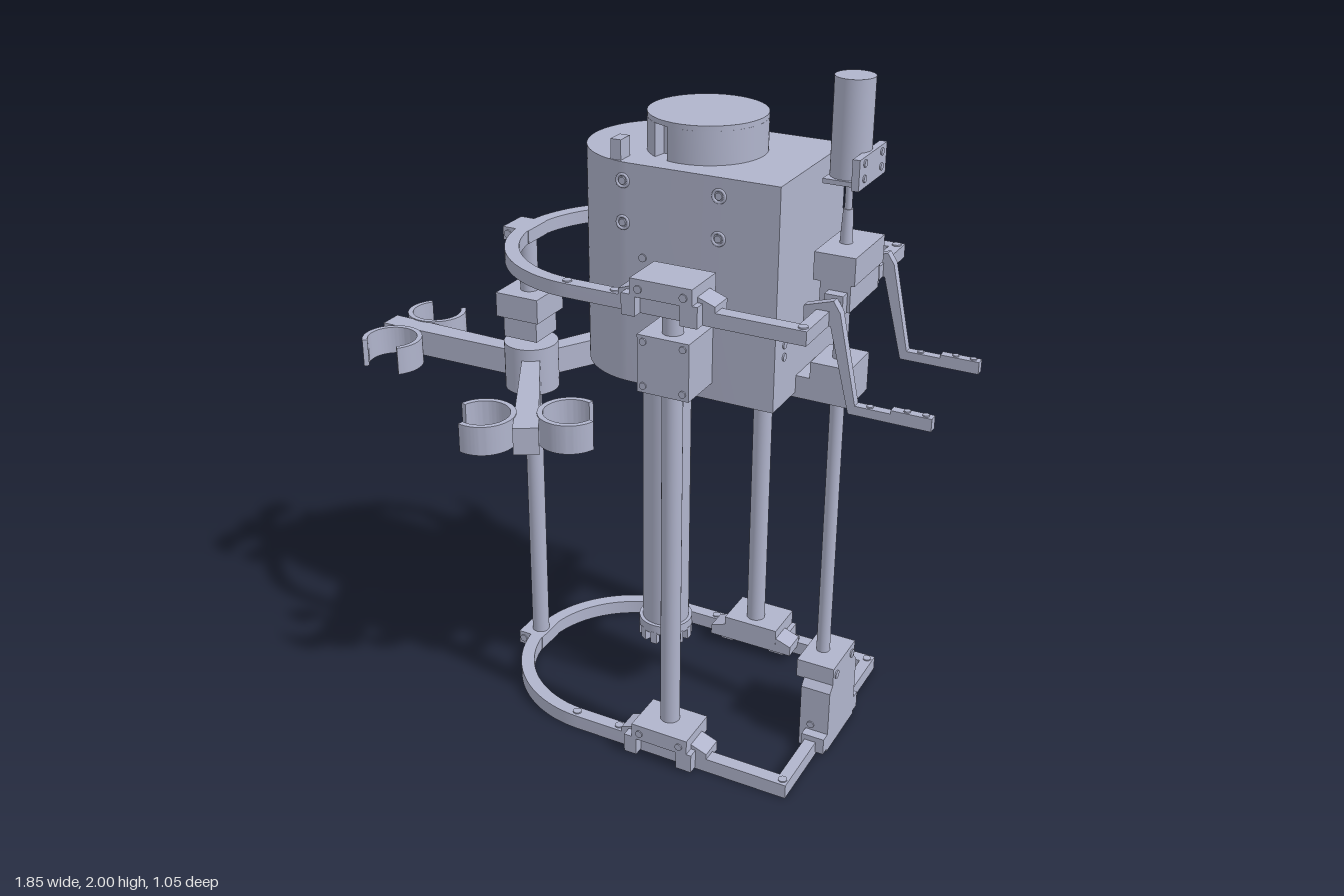
import * as THREE from 'three';
import { toCreasedNormals } from 'three/addons/utils/BufferGeometryUtils.js';

export function createModel() {
  const model = new THREE.Group();
  const steel = new THREE.MeshStandardMaterial({ color: 0xb0b4cc });
  steel.name = 'blue grey metal';

  const add = (geo, name, parent = model) => {
    const m = new THREE.Mesh(geo, steel);
    m.name = name;
    parent.add(m);
    return m;
  };
  // Box and upright cylinder given by their limits
  const box = (name, x0, x1, y0, y1, z0, z1, parent) => {
    const m = add(new THREE.BoxGeometry(x1 - x0, y1 - y0, z1 - z0), name, parent);
    m.position.set((x0 + x1) / 2, (y0 + y1) / 2, (z0 + z1) / 2);
    return m;
  };
  const rod = (name, x, z, r, y0, y1, parent, rTop = r) => {
    const m = add(new THREE.CylinderGeometry(rTop, r, y1 - y0, 40), name, parent);
    m.position.set(x, (y0 + y1) / 2, z);
    return m;
  };
  const extrude = (shape, depth) => toCreasedNormals(
    new THREE.ExtrudeGeometry(shape, { depth, bevelEnabled: false, curveSegments: 40 }), 0.5);
  // Plan outline raised from y0 to y1
  const plan = (name, shape, y0, y1, parent) => {
    const m = add(extrude(shape, y1 - y0).rotateX(-Math.PI / 2), name, parent);
    m.position.y = y0;
    return m;
  };
  // Front outline stretched from z0 to z1
  const side = (name, pts, z0, z1, parent) => {
    const m = add(extrude(new THREE.Shape(pts.map(p => new THREE.Vector2(...p))), z1 - z0), name, parent);
    m.position.z = z0;
    return m;
  };
  // Outline with a rounded left end
  const dShape = (cx, r, x1, Kind = THREE.Shape) => {
    const s = new Kind();
    s.moveTo(x1, -r);
    s.lineTo(x1, r);
    s.lineTo(cx, r);
    s.absarc(cx, 0, r, Math.PI / 2, Math.PI * 1.5, false);
    s.closePath();
    return s;
  };
  // Small bolt head with its axis along x, y or z
  const bolt = (x, y, z, axis, r = 0.013, parent = model) => {
    const m = add(new THREE.CylinderGeometry(r, r, 0.008, 16), 'bolt', parent);
    m.position.set(x, y, z);
    if (axis === 'x') m.rotation.z = Math.PI / 2;
    if (axis === 'z') m.rotation.x = Math.PI / 2;
  };

  // Drill head
  plan('headBody', dShape(0.06, 0.22, 0.49), 1.13, 1.755);
  const cap = new THREE.Shape();
  cap.absarc(0.18, 0, 0.163, -1.83, 4.15, false);
  cap.lineTo(0.10, -0.10);
  cap.lineTo(0.14, -0.10);
  cap.closePath();
  plan('headCap', cap, 1.755, 1.846);
  rod('capLid', 0.18, 0, 0.163, 1.846, 1.86);
  box('connector', 0, 0.03, 1.755, 1.81, 0.16, 0.21);
  for (const x of [0.04, 0.32]) for (const y of [1.59, 1.705])
    for (const s of [1, -1]) {
      const ring = add(new THREE.TorusGeometry(0.017, 0.004, 8, 24), 'boltRing');
      ring.position.set(x, y, s * 0.22);
      bolt(x, y, s * 0.22, 'z', 0.01);
    }
  bolt(0.1, 1.5, 0.22, 'z', 0.011);
  for (const y of [1.27, 1.305]) bolt(0.49, y, 0.16, 'x', 0.011);

  // Drill tube, toothed collar and cutting crown
  const DX = 0.062;
  rod('drillTube', DX, 0, 0.071, 0.22, 1.13);
  rod('tubeCollar', DX, 0, 0.082, 1.105, 1.13);
  rod('crown', DX, 0, 0.082, 0.215, 0.245);
  for (let i = 0; i < 12; i++) {
    const a = i * Math.PI / 6;
    for (const [name, y, h, w] of [['collarTooth', 1.095, 0.025, 0.022], ['crownTooth', 0.2, 0.04, 0.022]]) {
      const t = add(new THREE.BoxGeometry(0.018, h, w), name);
      t.position.set(DX + 0.073 * Math.cos(a), y, -0.073 * Math.sin(a));
      t.rotation.y = a;
    }
  }

  // Upper and lower frames
  for (const [name, y0, y1] of [['lowerFrame', 0, 0.045], ['upperFrame', 1.405, 1.445]]) {
    const s = dShape(-0.055, 0.357, 0.63);
    s.holes.push(dShape(-0.055, 0.316, 0.595, THREE.Path));
    plan(name, s, y0, y1);
    box('poleJoint', -0.452, -0.365, y0, y1, -0.05, 0.05);
    bolt(-0.435, (y0 + y1) / 2, 0.05, 'z', 0.012);
    for (const z of [-0.336, 0.336]) for (const x of [-0.065, 0.08, 0.365, 0.612]) bolt(x, y1, z, 'y');
  }

  // Guide columns with clamps and sliding blocks on both sides
  for (const s of [1, -1]) {
    const g = new THREE.Group();
    g.name = 'guideColumn';
    g.position.z = s * 0.305;
    model.add(g);
    rod('guideRod', 0.235, 0, 0.029, 0.03, 1.44, g);
    const o = s > 0 ? [-0.025, 0.082] : [-0.082, 0.025];
    for (const y of [0, 1.4]) {
      side('clamp', [[0.1, y + 0.03], [0.38, y + 0.03], [0.38, y + 0.062], [0.33, y + 0.08],
        [0.33, y + 0.11], [0.15, y + 0.11], [0.15, y + 0.08], [0.1, y + 0.062]], -0.02, 0.052, g);
      box('clampBridge', 0.15, 0.33, y + 0.06, y + 0.11, s > 0 ? -0.055 : -0.082, s > 0 ? 0.082 : 0.055, g);
      box('clampFootLeft', 0.125, 0.165, y + 0.005, y + 0.065, ...o, g);
      box('clampFootRight', 0.295, 0.345, y + 0.005, y + 0.065, ...o, g);
      for (const x of [0.175, 0.305]) bolt(x, y + 0.083, s * 0.082, 'z', 0.011, g);
    }
    box('slideBlock', 0.157, 0.31, 1.18, 1.345, s > 0 ? -0.09 : -0.055, s > 0 ? 0.055 : 0.09, g);
    for (const x of [0.175, 0.292]) for (const y of [1.2, 1.327]) bolt(x, y, s * 0.055, 'z', 0.01, g);

    // Bent handle beside the feed screw
    side('handle', [[0.56, 1.405], [0.635, 1.405], [0.695, 1.172], [0.92, 1.172], [0.92, 1.208],
      [0.81, 1.208], [0.81, 1.198], [0.713, 1.198], [0.66, 1.445], [0.64, 1.475], [0.56, 1.45]],
    s * 0.197 - 0.013, s * 0.197 + 0.013);
    for (const x of [0.75, 0.85, 0.9]) bolt(x, x < 0.8 ? 1.198 : 1.208, s * 0.197, 'y', 0.009);
  }

  // Feed screw with its bearing blocks, nut and motor
  const FX = 0.587;
  rod('feedScrew', FX, 0, 0.02, 0.2, 1.5);
  box('upperBearing', 0.54, 0.655, 1.48, 1.557, -0.105, 0.105);
  box('upperBearingBase', 0.56, 0.645, 1.405, 1.49, -0.105, 0.105);
  box('upperBearingEars', 0.585, 0.637, 1.405, 1.46, -0.135, 0.135);
  box('feedNutArm', 0.42, 0.645, 1.115, 1.18, -0.07, 0.07);
  box('feedNut', 0.53, 0.645, 1.175, 1.228, -0.07, 0.07);
  const base = new THREE.Shape([[-0.105, 0], [0.105, 0], [0.105, 0.205], [0.085, 0.225], [-0.085, 0.225],
    [-0.105, 0.205]].map(p => new THREE.Vector2(...p)));
  const lower = add(extrude(base, 0.09).rotateY(Math.PI / 2), 'lowerBearingBase');
  lower.position.x = 0.565;
  box('lowerBearing', 0.54, 0.655, 0.222, 0.28, -0.085, 0.085);
  box('lowerBearingEars', 0.585, 0.655, 0.01, 0.062, -0.135, 0.135);
  for (const z of [-0.06, 0.06]) {
    bolt(0.655, 0.25, z, 'x');
    for (const y of [1.755, 1.795]) bolt(0.647, y, z, 'x', 0.01);
  }
  for (const y of [0.08, 1.44]) bolt(0.6, y, 0.105, 'z', 0.011);
  rod('couplingCone', FX, 0, 0.018, 1.55, 1.65, model, 0.013);
  rod('motorShaft', FX, 0, 0.01, 1.64, 1.74);
  rod('motor', FX, 0, 0.053, 1.735, 2);
  box('motorPlate', 0.627, 0.647, 1.73, 1.812, -0.096, 0.096);
  box('motorShelf', 0.535, 0.64, 1.727, 1.74, -0.06, 0.06);

  // Rear pole with collar and carousel
  const PX = -0.4;
  rod('pole', PX, 0, 0.027, 0.02, 1.0);
  rod('poleNeck', PX, 0, 0.014, 1.0, 1.15);
  rod('poleTop', PX, 0, 0.027, 1.15, 1.44);
  box('collarDrive', -0.458, -0.345, 1.1, 1.17, -0.057, 0.057);
  box('collar', -0.472, -0.33, 1.168, 1.243, -0.073, 0.073);
  rod('carouselHub', PX, 0, 0.082, 0.93, 1.078);

  // C-shaped clip open away from its arm
  const clip = new THREE.Shape();
  clip.absarc(0, 0, 0.092, Math.PI * 0.75, Math.PI * 2.25, false);
  clip.absarc(0, 0, 0.076, Math.PI * 2.25, Math.PI * 0.75, true);
  clip.closePath();
  for (const a of [Math.PI, Math.PI / 3, -Math.PI / 3]) {
    const arm = new THREE.Group();
    arm.name = 'carouselArm';
    arm.position.x = PX;
    arm.rotation.y = a;
    model.add(arm);
    const beam = new THREE.Shape([[0.05, -0.027], [0.525, -0.036], [0.525, 0.036], [0.05, 0.027]]
      .map(p => new THREE.Vector2(...p)));
    plan('armBeam', beam, 0.96, 1.042, arm);
    for (const s of [1, -1]) {
      const c = plan('tubeClip', clip, 0.958, 1.045, arm);
      c.position.set(0.43, 0.958, -s * 0.12);
      if (s < 0) c.rotation.y = Math.PI;
    }
  }
  return model;
}
